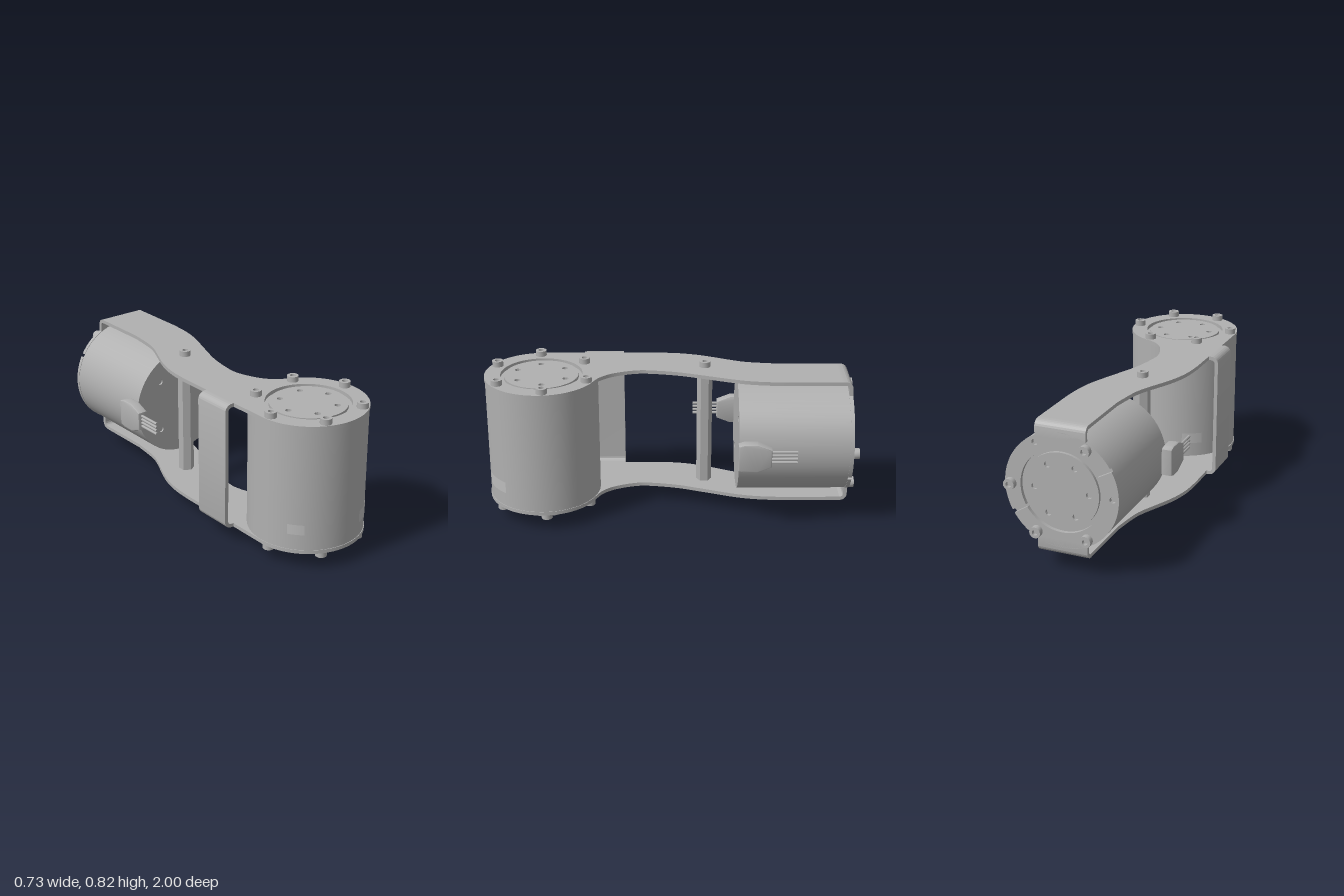
import * as THREE from 'three';
import { toCreasedNormals } from 'three/addons/utils/BufferGeometryUtils.js';

const metal = new THREE.MeshStandardMaterial({ color: 0xb0b0b0 });
metal.name = 'grey metal';
const pale = new THREE.MeshStandardMaterial({ color: 0xbcbcbc, side: THREE.DoubleSide });
pale.name = 'pale grey';

const R = 0.303, MZ = 0.69, MY = 0.445;   // motor radius, front motor z, rear motor y
const T = 0.02, TOP = 0.795, BOTTOM = 0.095; // sheet thickness and outer faces
const rad = THREE.MathUtils.degToRad;
const v2 = (list) => list.map(([x, y]) => new THREE.Vector2(x, y));

function add(parent, name, geometry, x = 0, y = 0, z = 0, material = metal) {
  const mesh = new THREE.Mesh(geometry, material);
  mesh.name = name;
  mesh.position.set(x, y, z);
  parent.add(mesh);
  return mesh;
}
function extrude(shape, depth, extra = {}) {
  const g = new THREE.ExtrudeGeometry(shape, { depth, bevelEnabled: false, curveSegments: 32, ...extra });
  return toCreasedNormals(g, 0.5);
}
const lathe = (points, n = 32) => toCreasedNormals(new THREE.LatheGeometry(v2(points), n), 0.5);
const circle = (x, y, r) => new THREE.Path().absarc(x, y, r, 0, Math.PI * 2, true);

// Round disc with a ring of small holes, lying flat with its base at y = 0
function drilledDisc(r, depth, count, holeRing, startAngle) {
  const s = new THREE.Shape().absarc(0, 0, r, 0, Math.PI * 2, false);
  for (let i = 0; i < count; i++) {
    const a = startAngle + (i / count) * Math.PI * 2;
    s.holes.push(circle(holeRing * Math.cos(a), holeRing * Math.sin(a), 0.016));
  }
  return extrude(s, depth).rotateX(-Math.PI / 2);
}

// Socket-head screws on a circle, standing on y
const screwGeometry = lathe([[0.03, 0], [0.03, 0.03], [0.015, 0.03], [0.015, 0.01], [0, 0.01]], 16);
function screws(parent, angles, y, down = false) {
  for (const d of angles) {
    const s = add(parent, 'screw', screwGeometry, 0.272 * Math.cos(rad(d)), y, 0.272 * Math.sin(rad(d)));
    if (down) s.rotation.x = Math.PI;
  }
}

// Motor along y: base at 0, drilled end cap at the top
function motor(name, length, holeAngle) {
  const g = new THREE.Group();
  g.name = name;
  add(g, 'motorBody', new THREE.CylinderGeometry(R, R, length - 0.01, 64), 0, (length + 0.01) / 2, 0);
  const face = drilledDisc(R, 0.01, 4, 0.205, Math.PI / 4);
  add(g, 'motorFrontFace', face);
  add(g, 'motorEndCap', drilledDisc(0.2, 0.016, 6, 0.147, holeAngle), 0, length, 0);
  return g;
}

// S-shaped arm plate with a round eye for the front motor
function armPlate() {
  const flip = (list) => v2(list.map(([x, z]) => [x, -z]));
  const s = new THREE.Shape();
  s.moveTo(-0.135, 0.91);
  s.lineTo(-0.135, 0.6);
  s.splineThru(flip([[-0.155, -0.45], [-0.18, -0.363], [-0.26, -0.18], [-0.295, -0.05], [-0.306, 0.08]]));
  s.lineTo(-0.306, -MZ);
  s.absarc(0, -MZ, 0.306, Math.PI, Math.PI * 2 + 1.1, false);
  s.splineThru(flip([[0.06, 0.375], [0, 0.3], [-0.04, 0.18], [-0.036, 0.08], [-0.01, -0.05],
    [0.035, -0.18], [0.1, -0.363], [0.125, -0.48], [0.135, -0.6]]));
  s.lineTo(0.135, 0.91);
  s.closePath();
  s.holes.push(circle(0, -MZ, 0.22));
  return extrude(s, T).rotateX(-Math.PI / 2);
}

// Bent sheet strip: outer corner at the origin, one arm along +x, one along -y
function bentStrip(across, down, width, r = 0.04) {
  const s = new THREE.Shape();
  s.moveTo(across, 0);
  s.lineTo(r, 0);
  s.absarc(r, -r, r, Math.PI / 2, Math.PI, false);
  s.lineTo(0, -down);
  s.lineTo(T, -down);
  s.lineTo(T, -r);
  s.absarc(r, -r, r - T, Math.PI, Math.PI / 2, true);
  s.lineTo(across, -T);
  s.closePath();
  return extrude(s, width);
}

// Half of the slotted rear mounting ring, with one free screw hole
function halfRing(from, to, holeAngle) {
  const a = rad(from) + 0.03, b = rad(to) - 0.03, h = rad(holeAngle);
  const s = new THREE.Shape();
  s.absarc(0, 0, 0.305, a, b, false);
  s.absarc(0, 0, 0.22, b, a, true);
  s.closePath();
  s.holes.push(circle(0.272 * Math.cos(h), 0.272 * Math.sin(h), 0.016));
  return extrude(s, T);
}

// Cable plug pointing along +x with four wires
function connector(name) {
  const g = new THREE.Group();
  g.name = name;
  const s = new THREE.Shape(v2([[0, -0.07], [0.03, -0.08], [0.1, -0.08], [0.175, -0.05],
    [0.175, 0.05], [0.1, 0.08], [0.03, 0.08], [0, 0.07]]));
  add(g, 'plugBody', extrude(s, 0.042, { bevelEnabled: true, bevelSize: 0.008,
    bevelThickness: 0.008, bevelOffset: -0.008, bevelSegments: 2 }), 0, 0, 0.008);
  for (let i = 0; i < 4; i++) {
    const wire = new THREE.CylinderGeometry(0.008, 0.008, 0.145, 8).rotateZ(Math.PI / 2);
    add(g, 'wire', wire, 0.238, -0.03 + i * 0.02, 0.034);
  }
  return g;
}

export function createModel() {
  const model = new THREE.Group();
  model.name = 'twoMotorJoint';

  // Upright front motor with screws above and below
  const front = motor('frontMotor', 0.66, rad(5));
  front.position.set(0, 0.115, MZ);
  const six = [0, 1, 2, 3, 4, 5].map((i) => i * 60 - 5);
  screws(front, six, TOP - 0.115);
  screws(front, six, BOTTOM - 0.115, true);
  add(front, 'lowerCap', new THREE.CylinderGeometry(0.2, 0.2, 0.014, 40), 0, -0.007, 0);
  model.add(front);

  // Side windows of the front motor
  for (const [from, to, y, h] of [[20, 50, 0.225, 0.065], [-60, -43.5, 0.228, 0.055], [199, 221, 0.225, 0.06]]) {
    const g = new THREE.CylinderGeometry(R + 0.002, R + 0.002, h, 10, 1, true, rad(from), rad(to - from));
    add(model, 'sideWindow', g, 0, y, MZ, pale);
  }

  // Output hub under the front motor
  add(model, 'outputHub', lathe([[0, 0.06], [0.045, 0.06], [0.045, 0], [0.14, 0], [0.14, 0.045],
    [0.15, 0.045], [0.15, 0.055], [0.1, 0.055], [0.1, 0.11]], 48), 0, 0, MZ);

  // Rear motor lying along z
  const rear = motor('rearMotor', 0.587, 0);
  rear.rotation.x = -Math.PI / 2;
  rear.position.set(0, MY, -0.363);
  screws(rear, [0, 120, 240, 300], 0.607);
  model.add(rear);

  // Arm plates and their bends
  const plate = armPlate();
  add(model, 'upperArmPlate', plate, 0, TOP - T, 0);
  add(model, 'lowerArmPlate', plate, 0, BOTTOM, 0);
  const rearBend = bentStrip(0.06, 0.085, 0.27);
  add(model, 'upperRearBend', rearBend.clone().rotateY(-Math.PI / 2), 0.135, TOP, -0.97);
  add(model, 'lowerRearBend', rearBend.clone().rotateX(Math.PI).rotateY(-Math.PI / 2), -0.135, BOTTOM, -0.97);
  const sideBend = bentStrip(0.056, 0.35, 0.218);
  add(model, 'upperSideWeb', sideBend, -0.36, TOP, 0.257);
  add(model, 'lowerSideWeb', sideBend.clone().rotateX(Math.PI), -0.36, BOTTOM, 0.475);

  // Rear mounting ring in two halves
  add(model, 'rearRingHalf', halfRing(150, 330, 180), 0, MY, -0.97);
  add(model, 'rearRingHalf', halfRing(330, 510, 420), 0, MY, -0.97);

  // Spacer post between the plates with a screw at each end
  const post = new THREE.CylinderGeometry(0.042, 0.042, TOP - BOTTOM - 2 * T, 6).toNonIndexed();
  post.computeVertexNormals();
  add(model, 'spacerPost', post, -0.1, MY, -0.19);
  add(model, 'postScrew', screwGeometry, -0.1, TOP, -0.19);
  add(model, 'postScrew', screwGeometry, -0.1, BOTTOM, -0.19).rotation.x = Math.PI;

  // Cable plugs on both sides of the rear motor
  const plugA = connector('leftPlug');
  plugA.rotation.y = Math.PI / 2;
  plugA.position.set(0.308, 0.457, -0.357);
  const plugB = connector('rightPlug');
  plugB.rotation.y = -Math.PI / 2;
  plugB.position.set(-0.308, 0.443, -0.442);
  model.add(plugA, plugB);

  return model;
}
